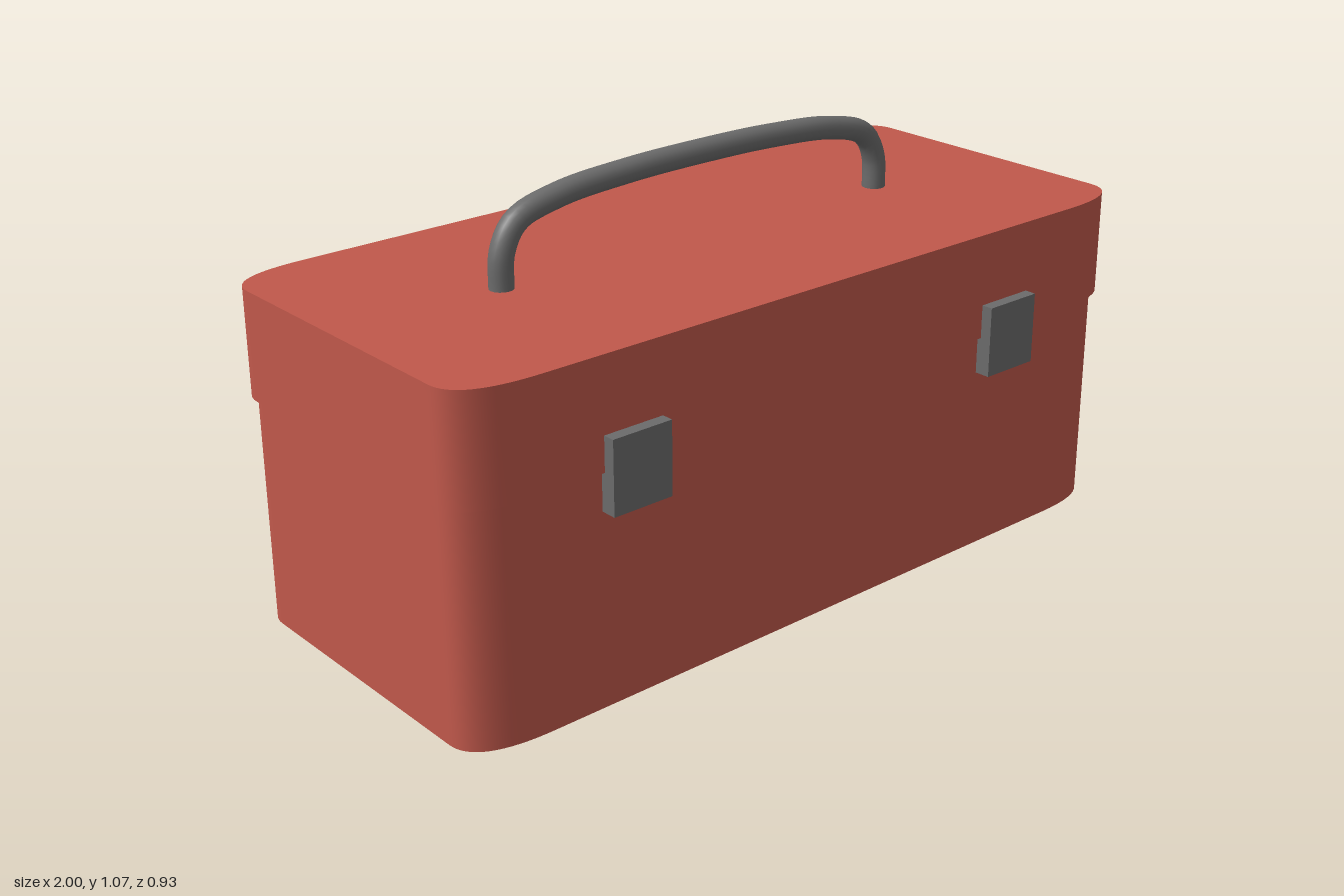
import * as THREE from 'three';
import { toCreasedNormals } from 'three/addons/utils/BufferGeometryUtils.js';

const CZ = -0.013; // depth centre of the case

// Rounded slab with corners stretched along x, extruded upwards from y0 to y1
function slab(name, hw, hd, y0, y1, material) {
  const cx = 0.2, cz = 0.1;
  const s = new THREE.Shape();
  s.moveTo(-hw + cx, -hd);
  s.lineTo(hw - cx, -hd);
  s.quadraticCurveTo(hw, -hd, hw, -hd + cz);
  s.lineTo(hw, hd - cz);
  s.quadraticCurveTo(hw, hd, hw - cx, hd);
  s.lineTo(-hw + cx, hd);
  s.quadraticCurveTo(-hw, hd, -hw, hd - cz);
  s.lineTo(-hw, -hd + cz);
  s.quadraticCurveTo(-hw, -hd, -hw + cx, -hd);
  const g = new THREE.ExtrudeGeometry(s, { depth: y1 - y0, bevelEnabled: false, curveSegments: 16 });
  g.rotateX(-Math.PI / 2);
  const mesh = new THREE.Mesh(toCreasedNormals(g, 0.7), material);
  mesh.name = name;
  mesh.position.set(0, y0, CZ);
  return mesh;
}

function box(name, w, h, d, x, y, z, material) {
  const mesh = new THREE.Mesh(new THREE.BoxGeometry(w, h, d), material);
  mesh.name = name;
  mesh.position.set(x, y, z);
  return mesh;
}

export function createModel() {
  const red = new THREE.MeshStandardMaterial({ color: 0xc0584b });
  red.name = 'red paint';
  const grey = new THREE.MeshStandardMaterial({ color: 0x6b6b6b });
  grey.name = 'grey metal';

  const model = new THREE.Group();
  model.name = 'toolbox';

  // Case body and slightly wider lid
  model.add(slab('body', 0.99, 0.438, 0.02, 0.579, red));
  model.add(slab('lid', 1, 0.448, 0.578, 0.838, red));

  // Latches on the front and runners underneath, mirrored
  for (const side of [-1, 1]) {
    const label = side > 0 ? 'left' : 'right';
    model.add(box(label + 'Latch', 0.156, 0.175, 0.05, side * 0.573, 0.574, 0.439, grey));
    model.add(box(label + 'Foot', 0.172, 0.025, 0.702, side * 0.834, 0.0125, CZ, grey));
  }

  // Arched carrying handle
  const half = [[0.575, 0.83], [0.57, 0.92], [0.532, 0.982], [0.42, 1.017], [0.22, 1.034]];
  const points = [
    ...half.map(([x, y]) => new THREE.Vector3(-x, y, CZ)),
    new THREE.Vector3(0, 1.038, CZ),
    ...half.slice().reverse().map(([x, y]) => new THREE.Vector3(x, y, CZ)),
  ];
  const handle = new THREE.Mesh(
    new THREE.TubeGeometry(new THREE.CatmullRomCurve3(points), 80, 0.029, 16), grey);
  handle.name = 'handle';
  model.add(handle);

  return model;
}
